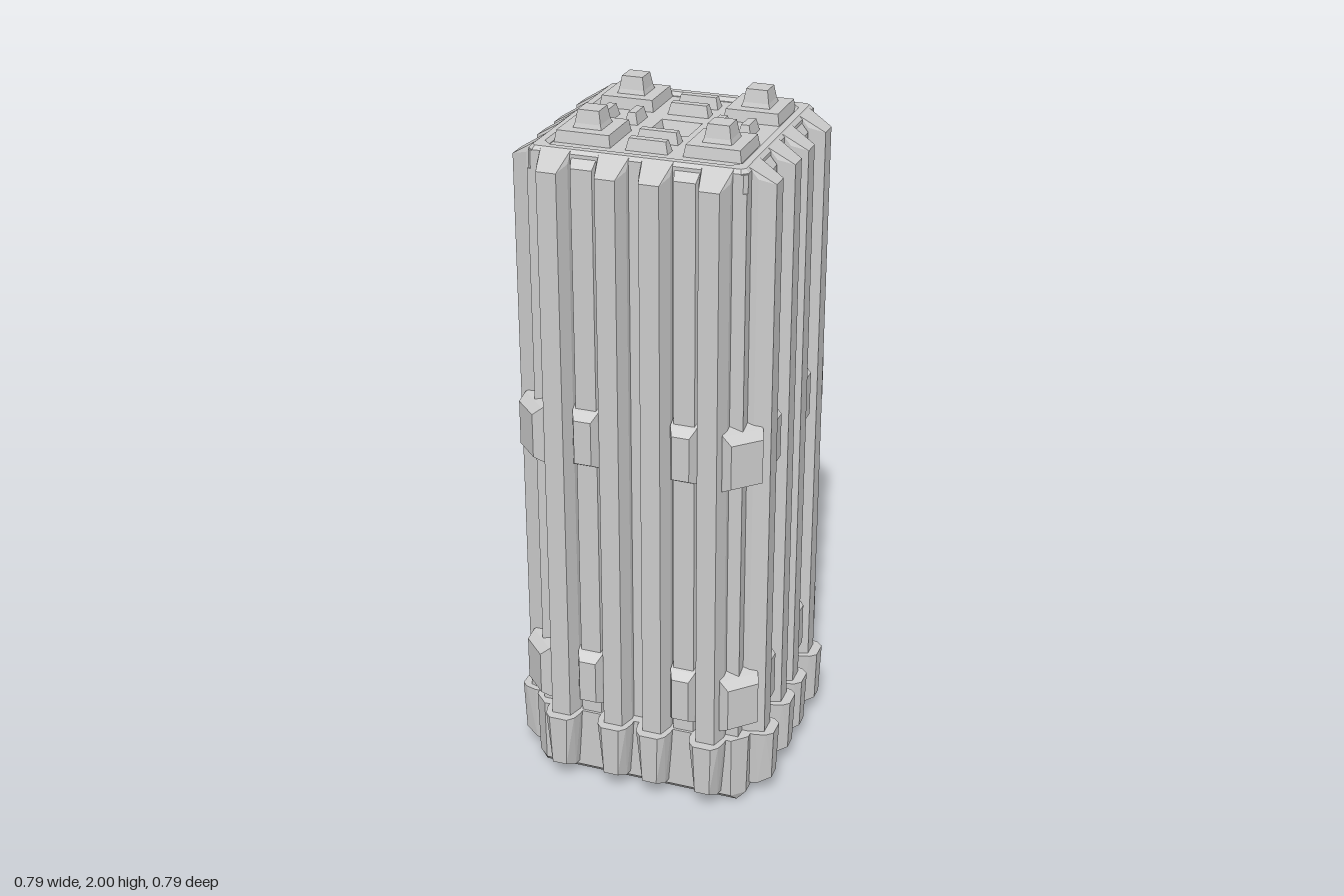
import * as THREE from 'three';
import { ConvexGeometry } from 'three/addons/geometries/ConvexGeometry.js';

const mat = new THREE.MeshStandardMaterial({ color: 0xcccccc, flatShading: true });
const matDouble = new THREE.MeshStandardMaterial({ color: 0xcccccc, flatShading: true, side: THREE.DoubleSide });

function add(parent, name, geometry, material = mat) {
  const mesh = new THREE.Mesh(geometry, material);
  mesh.name = name;
  parent.add(mesh);
  return mesh;
}

// Convex solid from [x, y, z] points; with mirror = true each is repeated at -x
function hull(points, mirror = true) {
  const all = [];
  for (const [x, y, z] of points) {
    all.push(new THREE.Vector3(x, y, z));
    if (mirror && x !== 0) all.push(new THREE.Vector3(-x, y, z));
  }
  return new ConvexGeometry(all);
}

// Rectangular block whose top is inset on every side
function bevelBlock(w, d, y0, y1, inset) {
  const pts = [];
  for (const s of [-1, 1]) {
    pts.push([w / 2, y0, s * d / 2], [w / 2 - inset, y1, s * (d / 2 - inset)]);
  }
  return hull(pts);
}

// Square outline with optionally cut corners
function squarePath(Type, half, cut = 0) {
  const p = new Type();
  const a = half, b = half - cut;
  p.moveTo(b, -a);
  for (const [x, y] of [[a, -b], [a, b], [b, a], [-b, a], [-a, b], [-a, -b], [-b, -a]]) {
    if (cut || Math.abs(x) === Math.abs(y)) p.lineTo(x, y);
  }
  p.closePath();
  return p;
}

function plate(outer, hole, holeCut, y0, y1, bevel) {
  const shape = squarePath(THREE.Shape, outer - bevel, 0.01);
  shape.holes.push(squarePath(THREE.Path, hole + bevel, holeCut));
  const g = new THREE.ExtrudeGeometry(shape, {
    depth: y1 - y0 - bevel, bevelEnabled: bevel > 0, bevelSize: bevel, bevelThickness: bevel, bevelSegments: 1,
  });
  return g.rotateX(-Math.PI / 2).translate(0, y0, 0);
}

// Clip with sloped ends, facing +z
function clipGeometry(half, back, front) {
  return hull([
    [half, -0.1, back], [half, 0.1, back],
    [half, -0.085, front - 0.025], [half, 0.08, front - 0.025],
    [half - 0.012, -0.07, front], [half - 0.012, 0.06, front],
  ]);
}

export function createModel() {
  const model = new THREE.Group();
  model.name = 'flutedTower';
  const body = new THREE.Group();
  body.name = 'body';
  body.position.z = -0.005;
  model.add(body);

  // Core and base block
  add(body, 'core', new THREE.BoxGeometry(0.604, 1.67, 0.604).translate(0, 1.035, 0));
  const base = [];
  for (const s of [-1, 1]) {
    base.push([0.3, 0, s * 0.3], [0.325, 0.025, s * 0.29], [0.29, 0.025, s * 0.325]);
    base.push([0.33, 0.22, s * 0.29], [0.29, 0.22, s * 0.33]);
  }
  add(body, 'baseBlock', hull(base));

  // Repeated parts
  const ribGeo = hull([
    [0.042, 0.2, 0.28], [0.042, 1.93, 0.295], [0.042, 1.9, 0.32],
    [0.042, 0.2, 0.32], [0.028, 0.2, 0.365], [0.028, 1.887, 0.365],
  ]);
  const pilasterGeo = hull([
    [0.036, 0.2, 0.29], [0.036, 1.92, 0.295],
    [0.03, 0.2, 0.322], [0.03, 1.89, 0.322],
  ]);
  const footGeo = hull([
    [0.052, 0.22, 0.29], [0.052, 0.22, 0.345], [0.044, 0.22, 0.375], [0.027, 0.22, 0.393],
    [0.04, 0.035, 0.3], [0.036, 0.04, 0.35], [0.022, 0.06, 0.388],
  ]);
  const clipGeo = clipGeometry(0.037, 0.29, 0.353);
  const cornerGeo = clipGeometry(0.06, 0.38, 0.455);

  // Four identical sides and corners
  for (let i = 0; i < 4; i++) {
    const side = new THREE.Group();
    side.name = 'side' + (i + 1);
    side.rotation.y = i * Math.PI / 2;
    body.add(side);
    for (const x of [-0.222, -0.06, 0.06, 0.222]) {
      add(side, 'rib', ribGeo).position.x = x;
      add(side, 'foot', footGeo).position.x = x;
    }
    for (const x of [-0.142, 0.142]) {
      add(side, 'pilaster', pilasterGeo).position.x = x;
      for (const y of [0.345, 1.12]) add(side, 'clip', clipGeo).position.set(x, y, 0);
    }
    for (const y of [0.345, 1.12]) {
      const corner = add(side, 'cornerClip', cornerGeo);
      corner.position.y = y;
      corner.rotation.y = Math.PI / 4;
    }
  }

  // Roof: deck with a square pit, raised rim
  add(body, 'roofDeck', plate(0.302, 0.058, 0, 1.87, 1.92, 0));
  add(body, 'roofRim', plate(0.302, 0.262, 0.025, 1.9, 1.932, 0.01));
  const pit = new THREE.CylinderGeometry(0.058 * Math.SQRT2, 0.042 * Math.SQRT2, 0.05, 4, 1, true);
  add(body, 'roofPit', pit.rotateY(Math.PI / 4).translate(0, 1.895, 0), matDouble);

  // Stepped turrets near the corners
  for (const x of [-0.18, 0.18]) {
    for (const z of [-0.188, 0.135]) {
      const turret = new THREE.Group();
      turret.name = 'turret';
      turret.position.set(x, 0, z);
      model.add(turret);
      add(turret, 'turretPad', bevelBlock(0.16, 0.158, 1.915, 1.952, 0.006));
      add(turret, 'turretStep', bevelBlock(0.082, 0.082, 1.95, 1.965, 0.005));
      add(turret, 'turretTop', bevelBlock(0.074, 0.074, 1.96, 2.0, 0.007));
    }
  }

  // Small raised bars
  for (const z of [-0.208, -0.128, 0.115, 0.195]) {
    add(model, 'crossBar', bevelBlock(0.12, 0.04, 1.915, 1.952, 0.009)).position.z = z;
  }
  for (const x of [-0.2, -0.12, 0.12, 0.2]) {
    add(model, 'sideBar', bevelBlock(0.04, 0.08, 1.915, 1.952, 0.009)).position.set(x, 0, -0.028);
  }
  return model;
}
